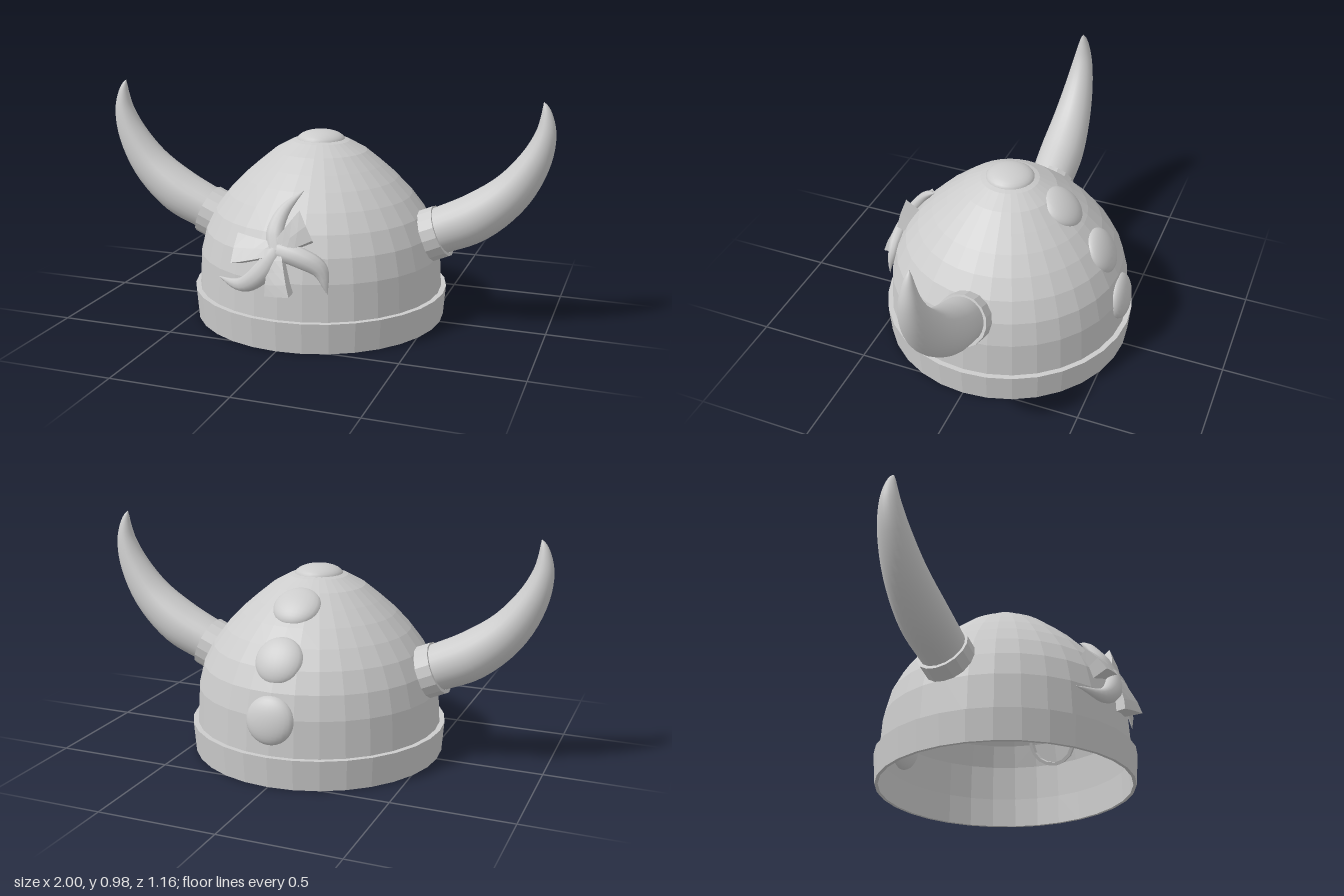
import * as THREE from 'three';

const grey = (flatShading = false) =>
  new THREE.MeshStandardMaterial({ color: 0xcccccc, flatShading, side: THREE.DoubleSide });

function mesh(name, geometry, flat) {
  const m = new THREE.Mesh(geometry, grey(flat));
  m.name = name;
  return m;
}

// Dome outline as [radius, height]
const PROFILE = [
  [0.535, 0.11], [0.525, 0.285], [0.5, 0.385], [0.457, 0.47], [0.4, 0.545],
  [0.335, 0.613], [0.27, 0.67], [0.2, 0.727], [0.125, 0.768], [0.06, 0.787], [0, 0.79],
];

function lathe(points, segments = 32) {
  return new THREE.LatheGeometry(points.map(([r, y]) => new THREE.Vector2(r, y)), segments);
}

function domeRadius(y) {
  let i = 1;
  while (i < PROFILE.length - 1 && PROFILE[i][1] < y) i++;
  const [r0, y0] = PROFILE[i - 1], [r1, y1] = PROFILE[i];
  return r0 + (r1 - r0) * (y - y0) / (y1 - y0);
}

// Lays a geometry drawn in the x-y plane onto the front of the dome; z becomes height above it
function wrapOnDome(geometry) {
  const p = geometry.attributes.position, n = new THREE.Vector3();
  for (let i = 0; i < p.count; i++) {
    const x = p.getX(i), y = p.getY(i), r = domeRadius(y);
    const slope = (domeRadius(y + 0.04) - domeRadius(y - 0.04)) / 0.08;
    const z = Math.sqrt(Math.max(0, r * r - x * x));
    n.set(x / r, -slope, z / r).normalize().multiplyScalar(p.getZ(i));
    p.setXYZ(i, x + n.x, y + n.y, z + n.z);
  }
  geometry.computeVertexNormals();
  return geometry;
}

// Tapered sweep along a planar curve; each point is [x, y, radius]
function horn(points, steps, sides, depth = 1) {
  const curve = new THREE.CatmullRomCurve3(points.map((p) => new THREE.Vector3(...p)));
  const pos = [], index = [];
  for (let i = 0; i <= steps; i++) {
    const c = curve.getPoint(i / steps);
    const t = curve.getTangent(i / steps).setZ(0).normalize();
    const r = Math.max(c.z, 0.001);
    for (let j = 0; j < sides; j++) {
      const a = (j / sides) * Math.PI * 2, u = r * Math.cos(a);
      pos.push(c.x - t.y * u, c.y + t.x * u, r * depth * Math.sin(a));
      if (i === steps) continue;
      const k = i * sides, a0 = k + j, b0 = k + (j + 1) % sides;
      index.push(a0, b0, a0 + sides, b0, b0 + sides, a0 + sides);
    }
  }
  const g = new THREE.BufferGeometry();
  g.setAttribute('position', new THREE.Float32BufferAttribute(pos, 3));
  g.setIndex(index);
  g.computeVertexNormals();
  return g;
}

// Flared wedge pointing outwards from the ornament's centre
function fin(angle, length) {
  const g = new THREE.BoxGeometry(1, 1, 1, 4, 2, 1).toNonIndexed();
  const p = g.attributes.position;
  for (let i = 0; i < p.count; i++) {
    const s = p.getX(i) + 0.5, v = p.getY(i);
    const top = 0.03 + 0.025 * s + 0.035 * s * v;
    p.setXYZ(i, s * length, v * (0.045 + 0.06 * s), p.getZ(i) > 0 ? top : -0.015);
  }
  g.rotateZ(angle * Math.PI / 180).translate(-0.01, 0.41, 0);
  return wrapOnDome(g);
}

export function createModel() {
  const model = new THREE.Group();

  // Shell, rim band and crown knob
  model.add(mesh('dome', lathe(PROFILE), true));
  model.add(mesh('rimBand',
    lathe([[0.532, 0], [0.546, 0], [0.556, 0.13], [0.532, 0.13], [0.532, 0]]), true));
  const knob = mesh('crownKnob', new THREE.SphereGeometry(0.105, 24, 8, 0, Math.PI * 2, 0, Math.PI / 2));
  knob.scale.y = 0.42;
  knob.position.y = 0.768;
  model.add(knob);

  // Row of flattened studs down the back: [y, z, tilt of the normal above level]
  [[0.675, -0.235, 54], [0.495, -0.418, 34], [0.275, -0.515, 11]].forEach(([y, z, tilt], i) => {
    const stud = mesh('backStud' + (i + 1), new THREE.SphereGeometry(0.1, 24, 16));
    stud.scale.set(1.03, 1, 0.42);
    stud.position.set(0, y, z);
    stud.rotation.x = tilt * Math.PI / 180;
    model.add(stud);
  });

  // Side horns with their collars; the second side is the first turned half round
  const hornPath = [
    [0.48, 0.385, 0.098], [0.55, 0.417, 0.1], [0.685, 0.482, 0.103], [0.826, 0.598, 0.087],
    [0.918, 0.735, 0.065], [0.955, 0.845, 0.044], [0.957, 0.92, 0.026], [0.95, 0.96, 0.013],
    [0.942, 0.982, 0.001],
  ];
  for (const [side, turn] of [['left', 0], ['right', Math.PI]]) {
    const group = new THREE.Group();
    group.name = side + 'HornGroup';
    group.add(mesh(side + 'Horn', horn(hornPath, 36, 24)));
    const collar = mesh(side + 'Collar',
      lathe([[0.098, -0.09], [0.113, -0.09], [0.113, 0], [0.098, 0], [0.098, -0.09]], 16), true);
    collar.position.set(0.545, 0.41, 0);
    collar.rotation.z = -Math.PI / 2 + 0.41;
    group.add(collar);
    group.rotation.y = turn;
    model.add(group);
  }

  // Front ornament: three curved spikes and three flared fins in a pinwheel
  const ornament = new THREE.Group();
  ornament.name = 'frontOrnament';
  const spikes = [
    [[-0.01, 0.4, 0.035], [-0.03, 0.47, 0.036], [-0.012, 0.545, 0.025], [0.045, 0.615, 0.001]],
    [[-0.01, 0.41, 0.035], [-0.06, 0.325, 0.042], [-0.15, 0.257, 0.03], [-0.28, 0.258, 0.001]],
    [[-0.01, 0.41, 0.035], [0.09, 0.385, 0.037], [0.165, 0.345, 0.03], [0.2, 0.25, 0.001]],
  ];
  spikes.forEach((path, i) => {
    const g = horn(path, 16, 10, 0.8).translate(0, 0, 0.012);
    ornament.add(mesh('spike' + (i + 1), wrapOnDome(g)));
  });
  [[36, 0.13], [187, 0.165], [278, 0.17]].forEach(([angle, length], i) =>
    ornament.add(mesh('fin' + (i + 1), fin(angle, length), true)));
  model.add(ornament);

  return model;
}
